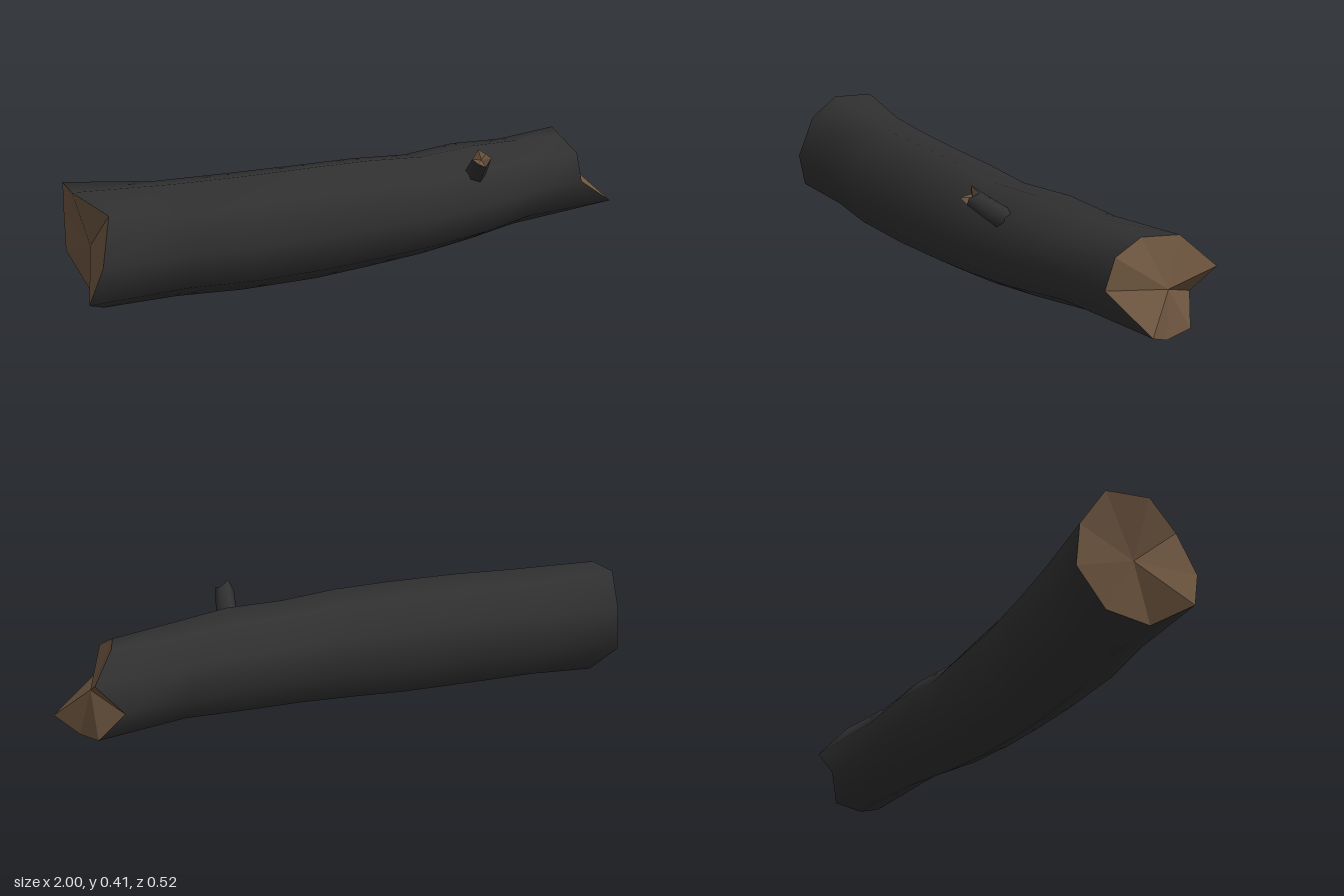
import * as THREE from 'three';

const bark = new THREE.MeshStandardMaterial({ color: 0x303030 });
bark.name = 'bark';
const wood = new THREE.MeshStandardMaterial({ color: 0x6e5640 });
wood.name = 'wood';

// Ring around the x axis: starts at +z and turns up over the top
function ring(sides, x, cy, cz, ry, rz) {
  return Array.from({ length: sides }, (_, k) => {
    const a = (k / sides) * Math.PI * 2;
    return [x, cy + ry * Math.sin(a), cz + rz * Math.cos(a)];
  });
}

// Smooth skin through rings running from -x to +x
function skin(name, rings) {
  const n = rings[0].length;
  const index = [];
  for (let i = 0; i < rings.length - 1; i++) {
    for (let k = 0; k < n; k++) {
      const a = i * n + k, b = i * n + (k + 1) % n, c = a + n, d = b + n;
      index.push(a, c, d, a, d, b);
    }
  }
  const g = new THREE.BufferGeometry();
  g.setAttribute('position', new THREE.Float32BufferAttribute(rings.flat(2), 3));
  g.setIndex(index);
  g.computeVertexNormals();
  const mesh = new THREE.Mesh(g, bark);
  mesh.name = name;
  return mesh;
}

// Faceted broken end: a fan from a sunken centre to the jagged rim
function brokenEnd(name, rim, centre, facesRight) {
  const points = [];
  rim.forEach((p, k) => {
    const q = rim[(k + 1) % rim.length];
    points.push(centre, ...(facesRight ? [q, p] : [p, q]));
  });
  const g = new THREE.BufferGeometry();
  g.setAttribute('position', new THREE.Float32BufferAttribute(points.flat(), 3));
  g.computeVertexNormals();
  const mesh = new THREE.Mesh(g, wood);
  mesh.name = name;
  return mesh;
}

export function createModel() {
  const model = new THREE.Group();
  model.name = 'log';

  // Jagged rims of the two ends
  const leftRim = [
    [-0.965, 0.19, 0.14], [-0.925, 0.34, 0.10], [-0.99, 0.388, -0.035],
    [-0.97, 0.383, -0.175], [-0.945, 0.265, -0.25], [-0.94, 0.128, -0.262],
    [-0.91, 0.03, -0.147], [-0.915, 0.012, 0.0], [-1.0, 0.065, 0.10],
  ];
  const rightRim = [
    [0.835, 0.198, 0.10], [0.835, 0.295, 0.065], [0.83, 0.338, -0.035],
    [0.875, 0.338, -0.145], [0.96, 0.25, -0.22], [0.86, 0.145, -0.205],
    [0.93, 0.057, -0.153], [0.95, 0.05, -0.045], [1.0, 0.092, 0.05],
  ];

  // Trunk sections: x, bottom, top, back, front
  const sections = [
    [-0.68, 0.013, 0.383, -0.205, 0.178],
    [-0.46, 0.006, 0.384, -0.175, 0.208],
    [-0.2, 0.004, 0.383, -0.147, 0.21],
    [0.0, 0.014, 0.379, -0.14, 0.213],
    [0.2, 0.024, 0.364, -0.136, 0.205],
    [0.41, 0.037, 0.369, -0.17, 0.192],
    [0.62, 0.05, 0.353, -0.172, 0.128],
  ].map(([x, bottom, top, back, front]) => {
    const rz = (front - back) / 1.94;
    return ring(9, x, (bottom + top) / 2, front - rz, (top - bottom) / 1.97, rz);
  });
  model.add(
    skin('trunk', [leftRim, ...sections, rightRim]),
    brokenEnd('leftEnd', leftRim, [-0.93, 0.2, -0.06], false),
    brokenEnd('rightEnd', rightRim, [0.92, 0.195, -0.07], true),
  );

  // Short snapped branch on the upper front, built along x and then tilted
  const base = new THREE.Vector3(0.372, 0.285, 0.115);
  const tip = new THREE.Vector3(0.325, 0.383, 0.235);
  const length = base.distanceTo(tip);
  const jag = [0.015, -0.012, 0.012, -0.015, 0.008, -0.008];
  const branchRim = ring(6, length, 0, 0, 0.03, 0.03);
  branchRim.forEach((p, k) => { p[0] += jag[k]; });
  const branch = new THREE.Group();
  branch.name = 'branch';
  branch.add(
    skin('branchBark', [ring(6, 0, 0, 0, 0.037, 0.037), ring(6, length * 0.5, 0, 0, 0.034, 0.034), branchRim]),
    brokenEnd('branchEnd', branchRim, [length - 0.012, 0, 0], true),
  );
  branch.position.copy(base);
  branch.quaternion.setFromUnitVectors(new THREE.Vector3(1, 0, 0), tip.clone().sub(base).normalize());
  model.add(branch);

  return model;
}
